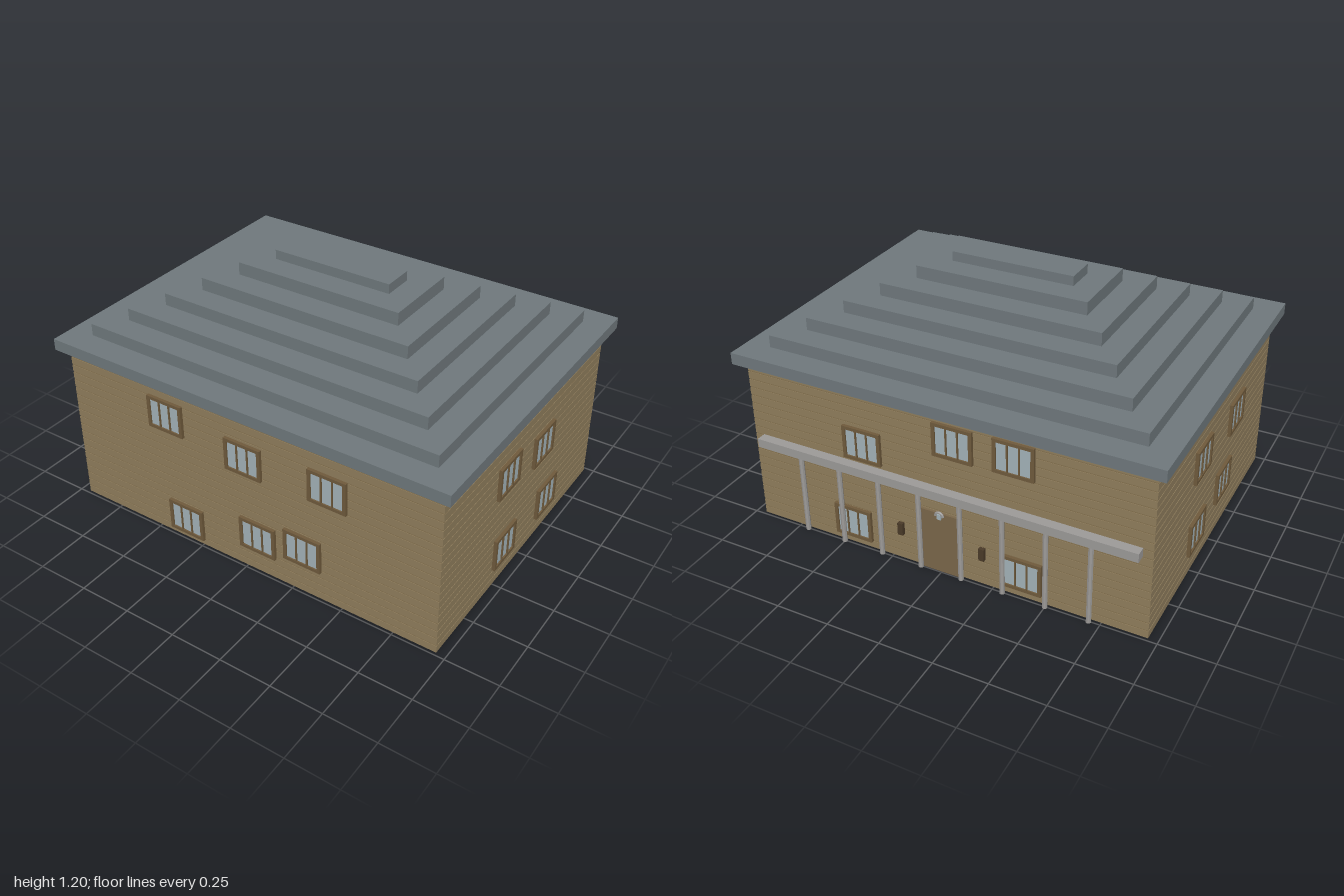
import * as THREE from 'three';

const mat = (color) => new THREE.MeshStandardMaterial({ color, flatShading: true });
const WALL_X = 0.955, WALL_Z = 0.735;

export function createModel() {
  const house = new THREE.Group();
  house.name = 'house';
  const boardMat = mat(0x8f7d5c), seamMat = mat(0x85724f), roofMat = mat(0x6f787c);
  const frameMat = mat(0x6f5a3c), glassMat = mat(0xa3b2b8), stoneMat = mat(0x9c9a98);
  const doorMat = mat(0x7a664a), lampMat = mat(0x4a3a28);

  const box = (parent, name, size, pos, material) => {
    const m = new THREE.Mesh(new THREE.BoxGeometry(...size), material);
    m.position.set(...pos);
    m.name = name;
    parent.add(m);
    return m;
  };

  // Walls: stacked boards with shallow recessed seams
  const walls = new THREE.Group();
  walls.name = 'walls';
  house.add(walls);
  box(walls, 'wallCore', [WALL_X * 2 - 0.004, 0.8, WALL_Z * 2 - 0.004], [0, 0.4, 0], seamMat);
  const boards = 20, pitch = 0.8 / boards;
  for (let i = 0; i < boards; i++) {
    box(walls, 'wallBoard', [WALL_X * 2, pitch * 0.86, WALL_Z * 2], [0, pitch * (i + 0.43), 0], boardMat);
  }

  // Stepped hip roof: [bottom, top, half width, half depth]
  const roof = new THREE.Group();
  roof.name = 'roof';
  house.add(roof);
  [
    [0.8, 0.855, 1, 0.78], [0.855, 0.913, 0.88, 0.66], [0.913, 0.972, 0.763, 0.543],
    [0.972, 1.03, 0.645, 0.425], [1.03, 1.09, 0.528, 0.308], [1.09, 1.15, 0.41, 0.19],
    [1.15, 1.195, 0.293, 0.073],
  ].forEach(([y0, y1, x, z]) =>
    box(roof, 'roofTier', [x * 2, y1 - y0, z * 2], [0, (y0 + y1) / 2, 0], roofMat));

  // Each side is a group whose local +z points out of the wall
  const makeSide = (name, angle, distance) => {
    const g = new THREE.Group();
    g.name = name;
    g.rotation.y = angle;
    g.position.set(Math.sin(angle) * distance, 0, Math.cos(angle) * distance);
    house.add(g);
    return g;
  };

  // Window: frame with three openings, glass set back inside
  const rect = (P, x, y, w, h) => {
    const p = new P();
    p.moveTo(x, y);
    p.lineTo(x + w, y);
    p.lineTo(x + w, y + h);
    p.lineTo(x, y + h);
    p.closePath();
    return p;
  };
  const frameShape = rect(THREE.Shape, -0.094, -0.08, 0.188, 0.16);
  for (const x of [-0.054, 0, 0.054]) {
    frameShape.holes.push(rect(THREE.Path, x - 0.024, -0.065, 0.048, 0.13));
  }
  const frameGeo = new THREE.ExtrudeGeometry(frameShape, { depth: 0.015, bevelEnabled: false });
  const addWindow = (side, x, y) => {
    const w = new THREE.Group();
    w.name = 'window';
    w.position.set(x, y, 0);
    const frame = new THREE.Mesh(frameGeo, frameMat);
    frame.name = 'windowFrame';
    w.add(frame);
    box(w, 'windowGlass', [0.17, 0.14, 0.008], [0, 0, 0.004], glassMat);
    side.add(w);
  };

  const front = makeSide('frontSide', 0, WALL_Z);
  const left = makeSide('leftSide', Math.PI / 2, WALL_X);
  const back = makeSide('backSide', Math.PI, WALL_Z);
  const right = makeSide('rightSide', -Math.PI / 2, WALL_X);
  const layout = [
    [front, [[-0.41, 0.645], [0.005, 0.585], [0.43, 0.6], [-0.335, 0.11], [0.065, 0.19], [0.3, 0.23]]],
    [left, [[-0.183, 0.555], [0.152, 0.51], [-0.17, 0.17], [0.242, 0.17]]],
    [back, [[-0.376, 0.54], [0.07, 0.68], [0.35, 0.685], [-0.45, 0.115], [0.385, 0.118]]],
    [right, [[-0.2, 0.555], [0.25, 0.54], [-0.21, 0.19], [0.13, 0.245]]],
  ];
  for (const [side, list] of layout) list.forEach(([x, y]) => addWindow(side, x, y));

  // Door with an arched lantern above it
  box(back, 'door', [0.19, 0.31, 0.01], [0, 0.155, 0.005], doorMat);
  const arch = new THREE.Mesh(new THREE.TorusGeometry(0.018, 0.006, 6, 12, Math.PI), stoneMat);
  arch.name = 'lanternArch';
  arch.position.set(0, 0.3, 0.015);
  back.add(arch);
  box(back, 'lanternGlass', [0.018, 0.026, 0.012], [0, 0.297, 0.014], glassMat);

  // Wall lamps either side of the door
  for (const s of [-1, 1]) box(back, 'wallLamp', [0.026, 0.06, 0.018], [s * 0.2, 0.165, 0.009], lampMat);

  // Colonnade carrying a long beam
  box(back, 'porchBeam', [1.82, 0.042, 0.045], [0, 0.421, 0.0225], stoneMat);
  for (let i = 0; i < 8; i++) {
    const c = new THREE.Mesh(new THREE.CylinderGeometry(0.012, 0.012, 0.4, 8), stoneMat);
    c.name = 'porchColumn';
    c.position.set(-0.7 + i * 0.2, 0.2, 0.018);
    back.add(c);
  }
  return house;
}
